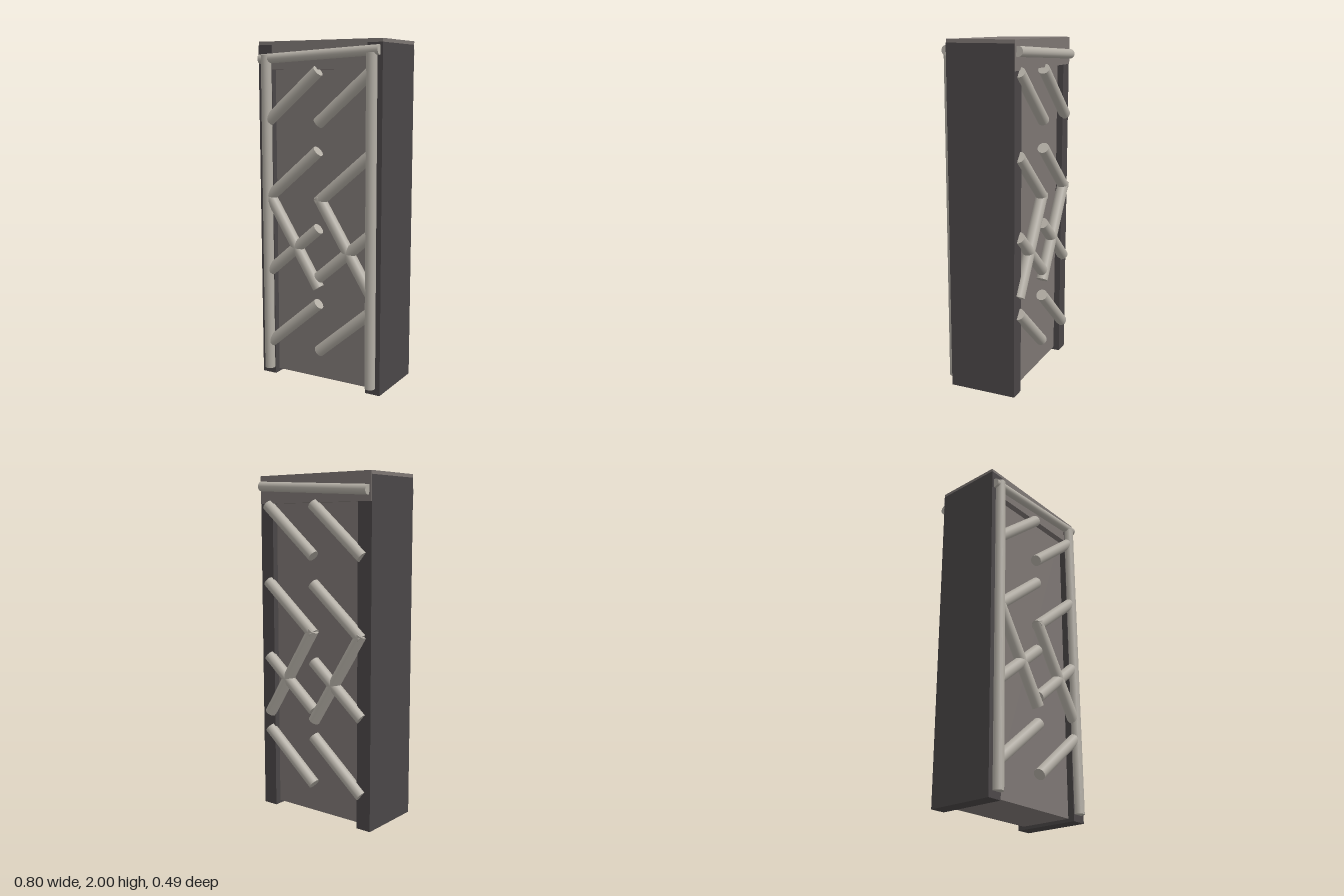
import * as THREE from 'three';

const frameMat = new THREE.MeshStandardMaterial({ color: 0x4a4647 });
const panelMat = new THREE.MeshStandardMaterial({ color: 0x7d7673 });
const pipeMat = new THREE.MeshStandardMaterial({ color: 0xb3aea5 });

function box(name, material, w, h, d, x, y, z) {
  const mesh = new THREE.Mesh(new THREE.BoxGeometry(w, h, d), material);
  mesh.name = name;
  mesh.position.set(x, y, z);
  return mesh;
}

// Round bar between two points in a plane of constant z
function bar(name, radius, x1, y1, x2, y2, z) {
  const dx = x2 - x1, dy = y2 - y1;
  const mesh = new THREE.Mesh(
    new THREE.CylinderGeometry(radius, radius, Math.hypot(dx, dy), 20), pipeMat);
  mesh.name = name;
  mesh.position.set((x1 + x2) / 2, (y1 + y2) / 2, z);
  mesh.rotation.z = Math.atan2(dy, dx) - Math.PI / 2;
  return mesh;
}

// Two columns of slanted bars with one crossing brace each
function lattice(name, z) {
  const group = new THREE.Group();
  group.name = name;
  for (const cx of [-0.17, 0.174]) {
    for (let row = 0; row < 4; row++) {
      const y = 0.344 + row * 0.4475;
      group.add(bar('slantedBar', 0.034, cx - 0.172, y - 0.145, cx + 0.172, y + 0.145, z));
    }
    group.add(bar('crossBrace', 0.034, cx - 0.17, 1.12, cx + 0.17, 0.585, z));
  }
  return group;
}

export function createModel() {
  const model = new THREE.Group();
  model.name = 'panelledCabinet';

  // Body: recessed core between two uprights, capped by a header
  model.add(box('recessedPanel', panelMat, 0.64, 1.9, 0.324, 0, 0.969, -0.003));
  model.add(box('header', panelMat, 0.801, 0.16, 0.402, 0, 1.92, -0.005));
  for (const s of [-1, 1]) {
    model.add(box('sideUpright', frameMat, 0.092, 1.98, 0.401, s * 0.356, 0.99, -0.002));
  }

  // Vertical pipes on the front only
  model.add(bar('frontPost', 0.031, -0.344, 0.04, -0.341, 1.925, 0.21));
  model.add(bar('frontPost', 0.031, 0.345, 0.04, 0.342, 1.925, 0.21));

  // Slightly tilted rails across the header
  model.add(bar('frontTopRail', 0.028, -0.387, 1.9, 0.387, 1.94, 0.205));
  model.add(bar('backTopRail', 0.028, -0.387, 1.9, 0.387, 1.94, -0.216));

  model.add(lattice('frontLattice', 0.201));
  model.add(lattice('backLattice', -0.204));
  return model;
}
